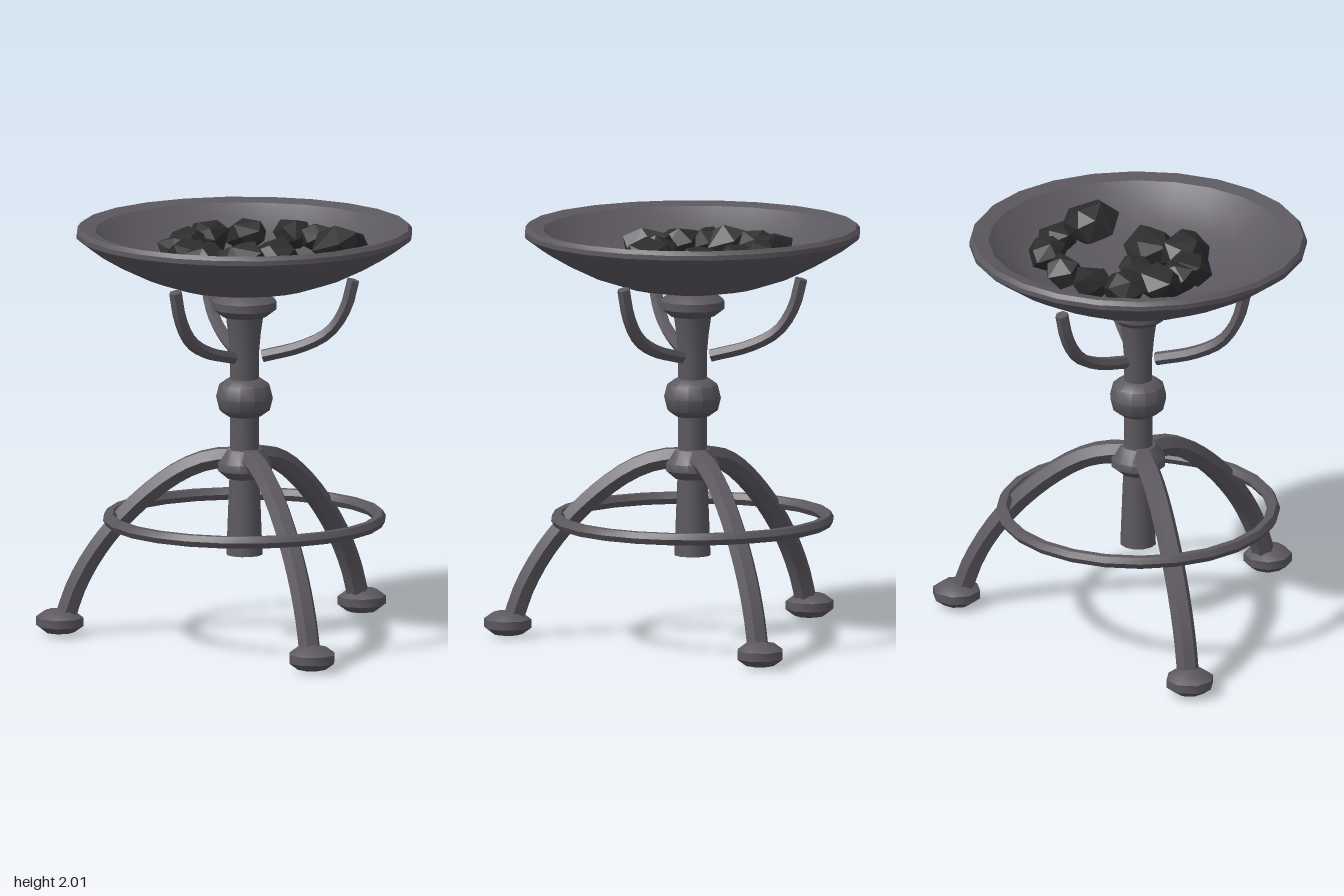
import * as THREE from 'three';
import { toCreasedNormals } from 'three/addons/utils/BufferGeometryUtils.js';
import { ConvexGeometry } from 'three/addons/geometries/ConvexGeometry.js';

const iron = new THREE.MeshStandardMaterial({ name: 'iron', color: 0x5c585f });
const coal = new THREE.MeshStandardMaterial({ name: 'coal', color: 0x2c2c2c });

const AXIS_Z = 0.103; // the tripod's axis sits a little forward of centre

function mesh(name, geometry, material, crease = 0.7) {
  const m = new THREE.Mesh(toCreasedNormals(geometry, crease), material);
  m.name = name;
  return m;
}

const lathe = (points, sides) =>
  new THREE.LatheGeometry(points.map(([r, y]) => new THREE.Vector2(r, y)), sides);

// Hexagonal bar swept along a curve in the x/y plane, with closed ends
function bar(points, radius, steps) {
  const path = new THREE.CatmullRomCurve3(points.map(([x, y]) => new THREE.Vector3(x, y, 0)));
  const hexagon = new THREE.Shape(
    Array.from({ length: 6 }, (_, i) => {
      const a = (i * Math.PI) / 3;
      return new THREE.Vector2(radius * Math.cos(a), radius * Math.sin(a));
    })
  );
  return new THREE.ExtrudeGeometry(hexagon, { steps, extrudePath: path, curveSegments: 1 });
}

// Small seeded generator for the coal shapes
function seeded(seed) {
  return () => {
    seed = (seed * 16807) % 2147483647;
    return seed / 2147483647;
  };
}

// Angular lump: hull of jittered points spread over a sphere
function lump(radius, rand) {
  const points = [];
  const n = 15;
  const spin = rand() * 6.28;
  for (let i = 0; i < n; i++) {
    const y = 1 - (2 * (i + 0.5)) / n;
    const a = i * 2.4 + spin + rand() * 0.5;
    const s = Math.sqrt(1 - y * y);
    const r = radius * (0.88 + rand() * 0.26);
    points.push(new THREE.Vector3(r * s * Math.cos(a), 0.8 * r * y, r * s * Math.sin(a)));
  }
  return new ConvexGeometry(points);
}

export function createModel() {
  const model = new THREE.Group();
  model.name = 'brazier';
  const body = new THREE.Group();
  body.name = 'stand';
  body.position.z = AXIS_Z;
  model.add(body);

  // Fire bowl: outer shell, rim, then hollow inside
  body.add(mesh('bowl', lathe([
    [0, 1.675], [0.17, 1.688], [0.33, 1.717], [0.48, 1.767], [0.62, 1.835], [0.72, 1.893],
    [0.79, 1.945], [0.803, 1.957], [0.803, 1.98], [0.787, 2.0], [0.713, 1.985],
    [0.64, 1.915], [0.53, 1.845], [0.4, 1.797], [0.25, 1.765], [0.12, 1.752], [0, 1.748],
  ], 24), iron, 0.5));

  // Central post and its turned ornaments
  body.add(mesh('post', lathe([
    [0, 0.415], [0.087, 0.415], [0.078, 0.65], [0.07, 0.85], [0.069, 1.38],
    [0.078, 1.48], [0.092, 1.58], [0, 1.58],
  ], 12), iron));
  body.add(mesh('collar', lathe([
    [0, 1.567], [0.105, 1.567], [0.155, 1.605], [0.155, 1.642], [0.108, 1.678], [0, 1.685],
  ], 12), iron));
  body.add(mesh('ball', lathe([
    [0, 1.08], [0.08, 1.085], [0.122, 1.115], [0.137, 1.175], [0.122, 1.235], [0.08, 1.265], [0, 1.27],
  ], 12), iron));
  body.add(mesh('hub', lathe([
    [0, 0.785], [0.085, 0.785], [0.132, 0.825], [0.132, 0.862], [0.085, 0.925], [0, 0.925],
  ], 12), iron));

  // Brace ring around the legs
  const ring = mesh('braceRing', new THREE.TorusGeometry(0.645, 0.032, 6, 24), iron);
  ring.rotation.x = Math.PI / 2;
  ring.position.y = 0.59;
  body.add(ring);

  // Three curved legs with feet, and three bowl arms between them
  const legShape = bar([
    [0.05, 0.882], [0.16, 0.872], [0.31, 0.81], [0.52, 0.645], [0.7, 0.435], [0.81, 0.24], [0.865, 0.08],
  ], 0.054, 16);
  const footShape = new THREE.SphereGeometry(0.121, 8, 5);
  footShape.scale(1, 0.53, 1);
  const armShape = bar([
    [0.088, 1.377], [0.28, 1.43], [0.41, 1.503], [0.487, 1.62], [0.524, 1.757],
  ], 0.032, 12);
  for (let i = 0; i < 3; i++) {
    const turn = Math.PI / 2 + (i * Math.PI * 2) / 3;

    const leg = new THREE.Group();
    leg.name = 'leg';
    const foot = mesh('foot', footShape, iron, 0.9);
    foot.position.set(0.89, 0.065, 0);
    leg.add(mesh('legBar', legShape, iron), foot);
    leg.rotation.y = turn;
    body.add(leg);

    const arm = mesh('bowlArm', armShape, iron);
    arm.rotation.y = turn + Math.PI;
    body.add(arm);
  }

  // Coals: x, z, radius
  const coals = new THREE.Group();
  coals.name = 'coals';
  const rand = seeded(4217);
  [
    [-0.05, -0.33, 0.1], [0.115, -0.325, 0.1], [0.335, -0.215, 0.135], [-0.23, -0.205, 0.1],
    [-0.35, -0.04, 0.105], [-0.335, 0.12, 0.107], [-0.25, 0.27, 0.115], [-0.16, 0.335, 0.1],
    [-0.02, 0.355, 0.11], [0.15, 0.29, 0.132], [0.185, 0.11, 0.132], [-0.01, 0.095, 0.085],
  ].forEach(([x, z, r]) => {
    const m = mesh('coalLump', lump(r, rand), coal, 0.05);
    m.position.set(x, 1.84 + 0.13 * Math.hypot(x, z - AXIS_Z), z);
    coals.add(m);
  });
  model.add(coals);

  return model;
}
